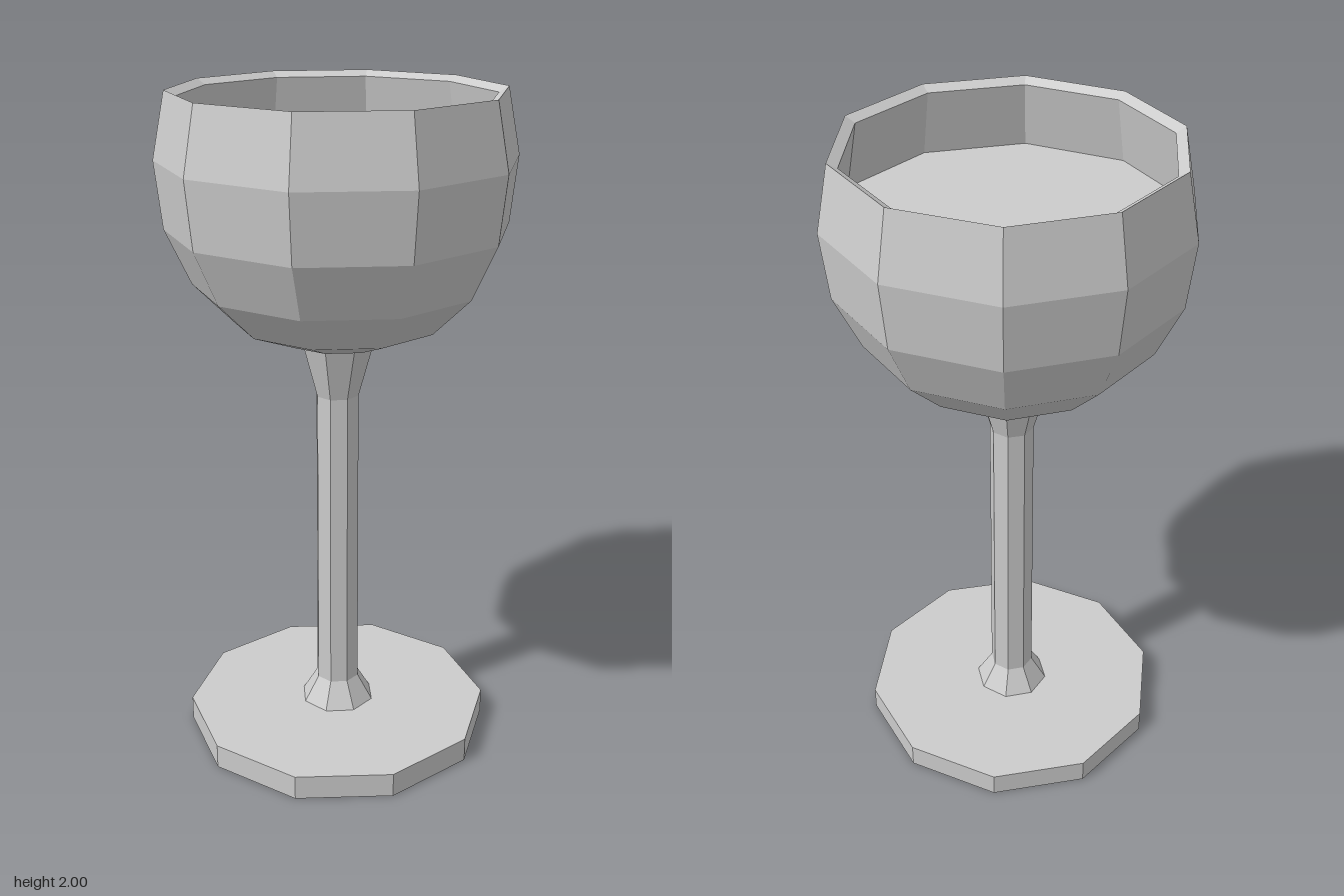
import * as THREE from 'three';

const material = new THREE.MeshStandardMaterial({ color: 0xcccccc, flatShading: true });

const evenAngles = (sides, start) => Array.from({ length: sides }, (_, i) => start + (i * 360) / sides);
const onCircle = (r, deg) => [r * Math.cos((deg * Math.PI) / 180), r * Math.sin((deg * Math.PI) / 180)];

// Faceted surface of revolution: profile of [radius, y], one column per angle
function facetedLathe(profile, angles) {
  const at = ([r, y], k) => {
    const [x, z] = onCircle(r, angles[k % angles.length]);
    return [x, y, z];
  };
  const positions = [];
  for (let i = 0; i < profile.length - 1; i++) {
    const [low, high] = [profile[i], profile[i + 1]];
    for (let k = 0; k < angles.length; k++) {
      if (low[0] > 0) positions.push(...at(low, k), ...at(high, k), ...at(low, k + 1));
      if (high[0] > 0) positions.push(...at(low, k + 1), ...at(high, k), ...at(high, k + 1));
    }
  }
  const geometry = new THREE.BufferGeometry();
  geometry.setAttribute('position', new THREE.Float32BufferAttribute(positions, 3));
  geometry.computeVertexNormals();
  return geometry;
}

export function createModel() {
  const model = new THREE.Group();
  model.name = 'goblet';
  const add = (name, geometry, x = 0, z = 0) => {
    const mesh = new THREE.Mesh(geometry, material);
    mesh.name = name;
    mesh.position.set(x, 0, z);
    model.add(mesh);
  };

  // Ten slightly uneven sides of the bowl
  const bowlAngles = [-2.8, 34.8, 71.6, 107.9, 144.7, 179.5, 214.5, 249.6, 284.6, 321];
  const stemAngles = evenAngles(8, 22.5);

  // Bowl: outside from the stem up, sloped rim, then the inner wall down to the drink
  add('bowl', facetedLathe([
    [0.09, 1.28], [0.165, 1.285], [0.307, 1.34], [0.423, 1.455], [0.497, 1.615],
    [0.518, 1.81], [0.48, 2], [0.451, 1.983], [0.488, 1.79],
  ], bowlAngles));

  // Level surface of the drink
  add('liquid', facetedLathe([[0.488, 1.79], [0, 1.79]], bowlAngles));

  // Stem: hollow underneath, flared at both ends
  add('stem', facetedLathe([
    [0, 1.05], [0.05, 1.05], [0.05, 0.15], [0.108, 0.074],
    [0.116, 0.074], [0.068, 0.155], [0.066, 1.11], [0.114, 1.285],
  ], stemAngles), -0.004, 0);

  // Foot: flat ten-sided plate with a hole below the stem
  const ring = (r, angles) => angles.map((a) => new THREE.Vector2(...onCircle(r, a)));
  const plate = new THREE.Shape(ring(0.47, evenAngles(10, 1.5)));
  plate.holes.push(new THREE.Path(ring(0.108, stemAngles)));
  const foot = new THREE.ExtrudeGeometry(plate, { depth: 0.075, bevelEnabled: false });
  foot.rotateX(Math.PI / 2).translate(0, 0.075, 0);
  add('foot', foot, -0.005, 0.008);

  return model;
}
